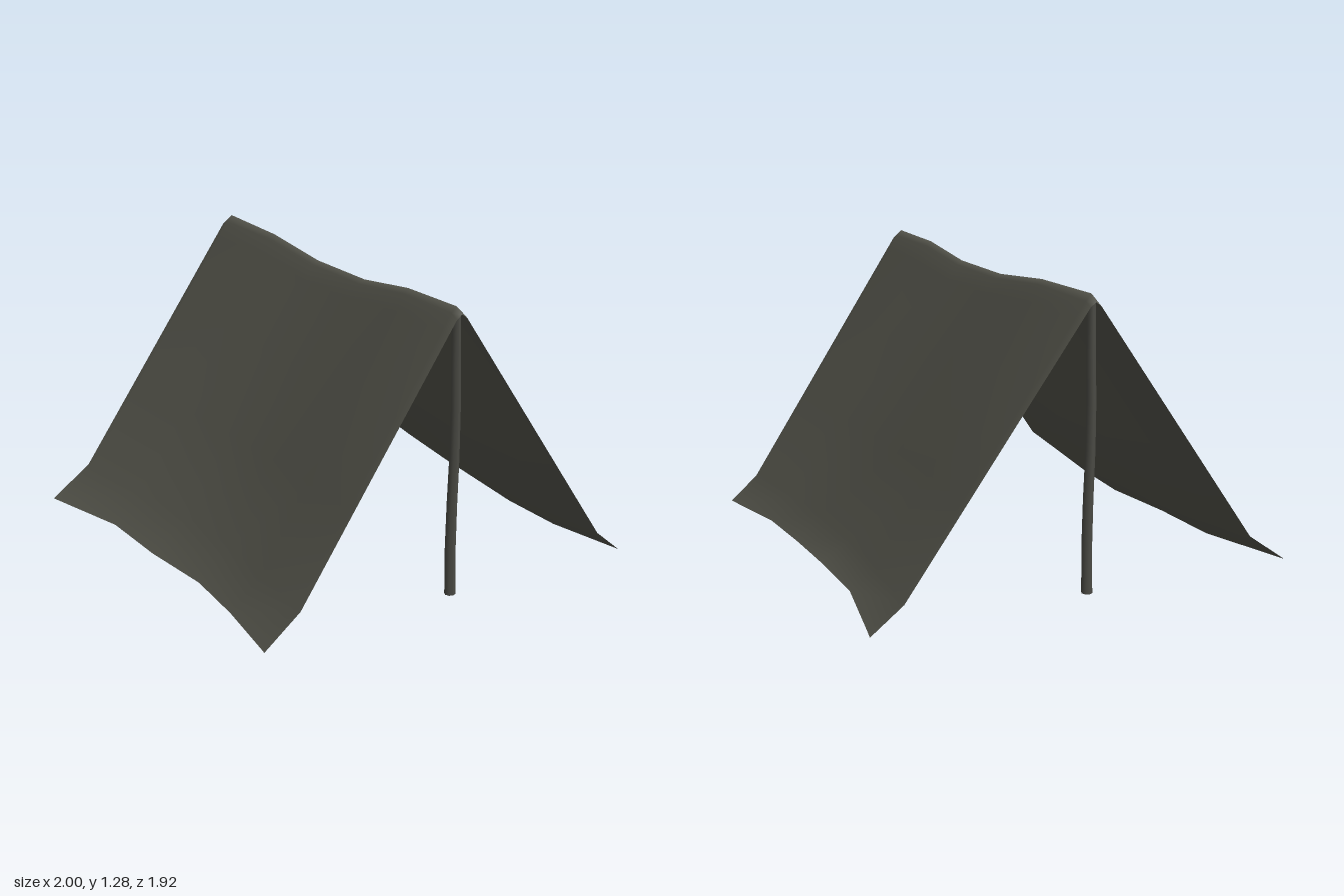
import * as THREE from 'three';

const canvasMat = new THREE.MeshStandardMaterial({ color: 0x53534a, side: THREE.DoubleSide });
canvasMat.name = 'olive canvas';
const poleMat = new THREE.MeshStandardMaterial({ color: 0x4a4a44 });
poleMat.name = 'dark pole';

// Stations along the ridge: z, ridge height, then x of left-hand and right-hand
// hem and knee (the crease above the hem), and height of the +x hem
const stations = [
  { z: 0.96, ridge: 1.25, hem: [-0.95, 0.9], knee: [-0.78, 0.77], lift: 0 },
  { z: 0.92, ridge: 1.275, hem: [-0.943, 0.893], knee: [-0.775, 0.765], lift: 0 },
  { z: 0.58, ridge: 1.27, hem: [-0.89, 0.835], knee: [-0.74, 0.73], lift: 0 },
  { z: 0.25, ridge: 1.23, hem: [-0.86, 0.835], knee: [-0.705, 0.715], lift: 0 },
  { z: -0.13, ridge: 1.23, hem: [-0.89, 0.87], knee: [-0.71, 0.73], lift: 0.025 },
  { z: -0.51, ridge: 1.27, hem: [-0.89, 0.895], knee: [-0.75, 0.78], lift: 0.025 },
  { z: -0.92, ridge: 1.28, hem: [-0.99, 0.99], knee: [-0.805, 0.845], lift: 0.003 },
  { z: -0.96, ridge: 1.25, hem: [-1, 1], knee: [-0.81, 0.85], lift: 0 },
];
const RIDGE_X = -0.01;

// One side of a cross-section, from the hem up to the shoulder beside the ridge
function sidePoints(s, i) {
  const dir = i ? 1 : -1;
  const hem = [s.hem[i], i ? s.lift : 0];
  const knee = [s.knee[i], i ? 0.11 : 0.135];
  const shoulder = [RIDGE_X + dir * 0.025, Math.min(s.ridge - 0.018, 1.25)];
  const along = (t) => [0, 1].map((k) => THREE.MathUtils.lerp(knee[k], shoulder[k], t));
  return [hem, knee, along(0.33), along(0.66), along(0.94), shoulder];
}

// Canvas sheet lofted through the cross-sections
function makeSheet() {
  const rows = stations.map((s) => [
    ...sidePoints(s, 0), [RIDGE_X, s.ridge], ...sidePoints(s, 1).reverse(),
  ].map(([x, y]) => [x, y, s.z]));
  const n = rows[0].length;
  const index = [];
  for (let r = 0; r < rows.length - 1; r++) {
    for (let c = 0; c < n - 1; c++) {
      const a = r * n + c, b = a + 1, d = a + n, e = d + 1;
      index.push(a, b, d, b, e, d);
    }
  }
  const geo = new THREE.BufferGeometry();
  geo.setAttribute('position', new THREE.Float32BufferAttribute(rows.flat(2), 3));
  geo.setIndex(index);
  geo.computeVertexNormals();
  return geo;
}

// Slightly crooked pole: rings of a cylinder shifted along a gentle bend
function makePole(name, z, bend) {
  const geo = new THREE.CylinderGeometry(0.019, 0.024, 1.24, 8, 6);
  geo.translate(0, 0.62, 0);
  const p = geo.attributes.position;
  for (let i = 0; i < p.count; i++) {
    const t = p.getY(i) / 1.24;
    p.setX(i, p.getX(i) + bend * Math.sin(t * Math.PI * 1.5 - Math.PI * 0.5) * Math.sin(t * Math.PI));
  }
  geo.computeVertexNormals();
  const pole = new THREE.Mesh(geo, poleMat);
  pole.name = name;
  pole.position.set(RIDGE_X, 0, z);
  return pole;
}

export function createModel() {
  const model = new THREE.Group();
  model.name = 'tent';
  const sheet = new THREE.Mesh(makeSheet(), canvasMat);
  sheet.name = 'canvasSheet';
  model.add(sheet, makePole('frontPole', 0.92, 0.01), makePole('backPole', -0.92, -0.01));
  return model;
}
